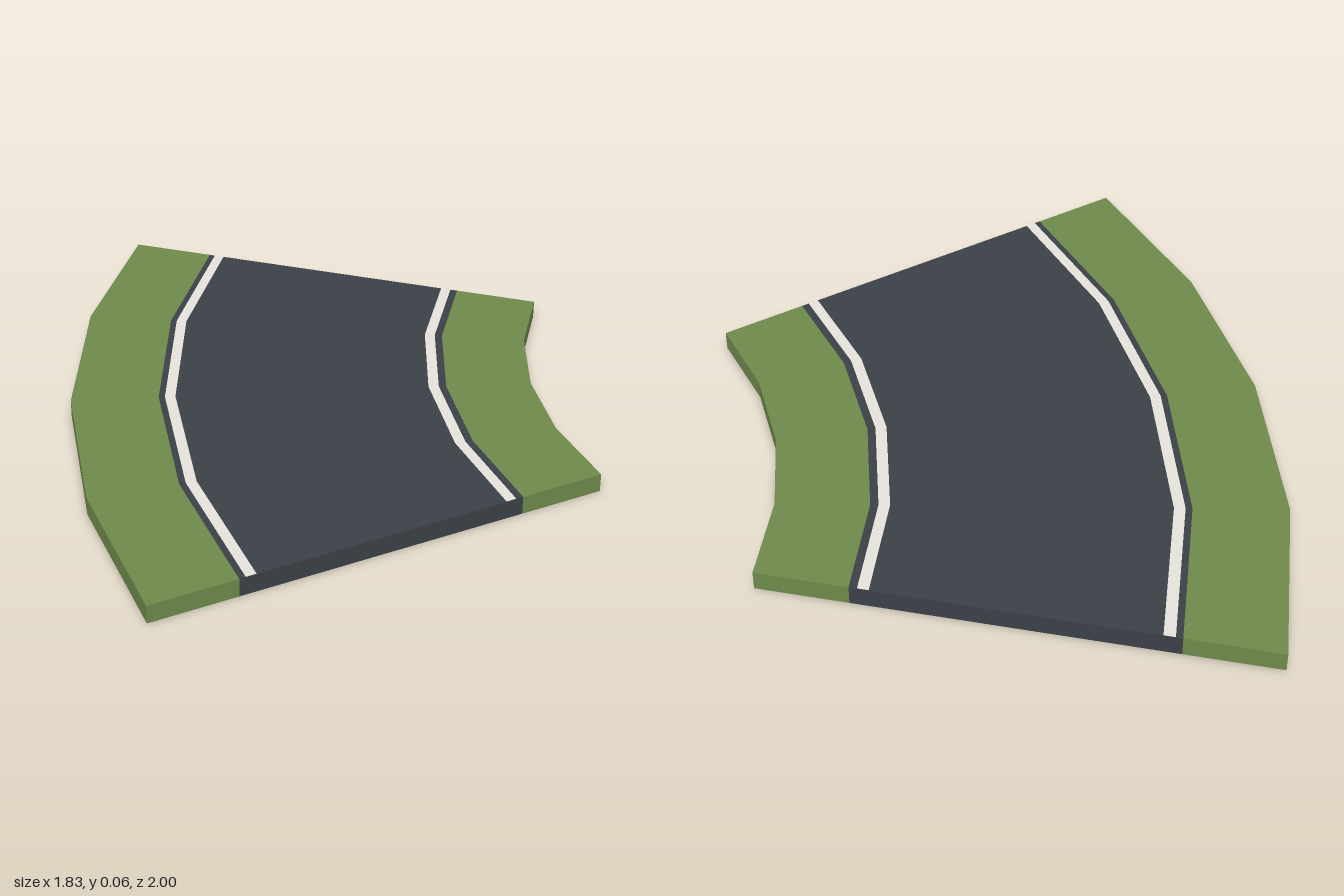
import * as THREE from 'three';

const HEIGHT = 0.056;
const SEGMENTS = 4;
const SWEEP = Math.PI / 4;
const CENTRE = { x: 1.914, z: -1 }; // centre of the bend

// Radii across the bend, from the inside outwards
const VERGE_IN = 1.414;
const ROAD_IN = 1.677;
const ROAD_OUT = 2.561;
const VERGE_OUT = 2.828;

// The slab is an open-bottomed shell, so both sides of each sheet show
const makeMaterial = (name, color) => {
  const material = new THREE.MeshStandardMaterial({ color, side: THREE.DoubleSide });
  material.name = name;
  return material;
};

// Sweeps a [radius, y] profile round the bend; capped adds a wall at each end
function sweepBend(name, profile, material, capped) {
  const positions = [];
  const at = (i, [radius, y]) => {
    const a = (SWEEP * i) / SEGMENTS;
    return [CENTRE.x - radius * Math.cos(a), y, CENTRE.z + radius * Math.sin(a)];
  };
  const quad = (a, b, c, d) => positions.push(...a, ...b, ...c, ...a, ...c, ...d);

  for (let i = 0; i < SEGMENTS; i++) {
    for (let j = 0; j < profile.length - 1; j++) {
      const p = profile[j], q = profile[j + 1];
      quad(at(i, p), at(i, q), at(i + 1, q), at(i + 1, p));
    }
  }
  if (capped) {
    const inner = profile[0][0], outer = profile[profile.length - 1][0];
    const corners = [[inner, 0], [outer, 0], [outer, HEIGHT], [inner, HEIGHT]];
    quad(...corners.map((p) => at(0, p)));
    quad(...corners.map((p) => at(SEGMENTS, p)).reverse());
  }

  const geometry = new THREE.BufferGeometry();
  geometry.setAttribute('position', new THREE.Float32BufferAttribute(positions, 3));
  geometry.computeVertexNormals();
  const mesh = new THREE.Mesh(geometry, material);
  mesh.name = name;
  return mesh;
}

export function createModel() {
  const grass = makeMaterial('grass green', 0x6f894b);
  const asphalt = makeMaterial('asphalt grey', 0x3b4147);
  const paint = makeMaterial('line white', 0xe6e3dc);

  const group = new THREE.Group();
  group.name = 'curvedRoad';

  // Road surface with its end walls
  group.add(sweepBend('roadSurface', [[ROAD_IN, HEIGHT], [ROAD_OUT, HEIGHT]], asphalt, true));

  // Grass verges, each with a side wall down to the ground
  group.add(sweepBend('innerVerge',
    [[VERGE_IN, 0], [VERGE_IN, HEIGHT], [ROAD_IN, HEIGHT]], grass, true));
  group.add(sweepBend('outerVerge',
    [[ROAD_OUT, HEIGHT], [VERGE_OUT, HEIGHT], [VERGE_OUT, 0]], grass, true));

  // Painted edge lines just above the road
  const lineY = HEIGHT + 0.001;
  for (const [name, radius] of [['innerEdgeLine', 1.7], ['outerEdgeLine', 2.51]]) {
    group.add(sweepBend(name, [[radius, lineY], [radius + 0.032, lineY]], paint, false));
  }
  return group;
}
